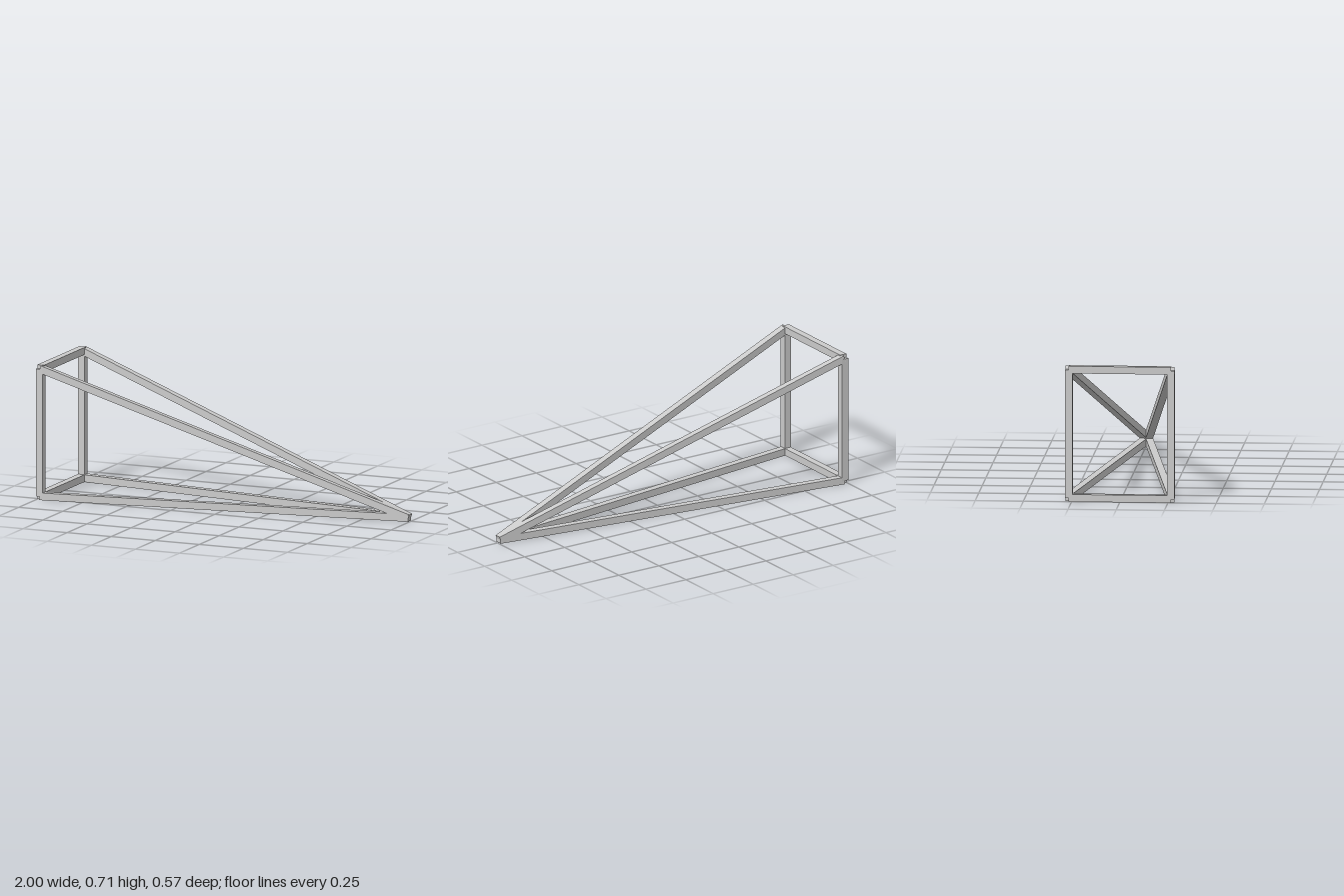
import * as THREE from 'three';

const T = 0.038; // bar thickness

export function createModel() {
  const group = new THREE.Group();
  const material = new THREE.MeshStandardMaterial({ color: 0xcccccc, flatShading: true });

  // Square bar running centre to centre between two joints
  function bar(name, a, b) {
    const from = new THREE.Vector3(...a);
    const to = new THREE.Vector3(...b);
    const mesh = new THREE.Mesh(new THREE.BoxGeometry(T, T, from.distanceTo(to)), material);
    mesh.name = name;
    mesh.position.copy(from).add(to).multiplyScalar(0.5);
    mesh.lookAt(to);
    group.add(mesh);
  }

  const back = -0.981, low = T / 2, high = 0.691, half = 0.265;
  const apex = [0.991, low, 0];

  // Upright rectangular frame: cross bars at bottom and top
  bar('bottomCrossBar', [back, low, -half], [back, low, half]);
  bar('topCrossBar', [back, high, -half], [back, high, half]);

  // Posts and the long struts meeting at the apex
  for (const [side, z] of [['front', half], ['back', -half]]) {
    bar(side + 'Post', [back, low, z], [back, high, z]);
    bar(side + 'BaseStrut', [back, low, z], apex);
    bar(side + 'SlopingStrut', [back, high, z], apex);
  }
  return group;
}
